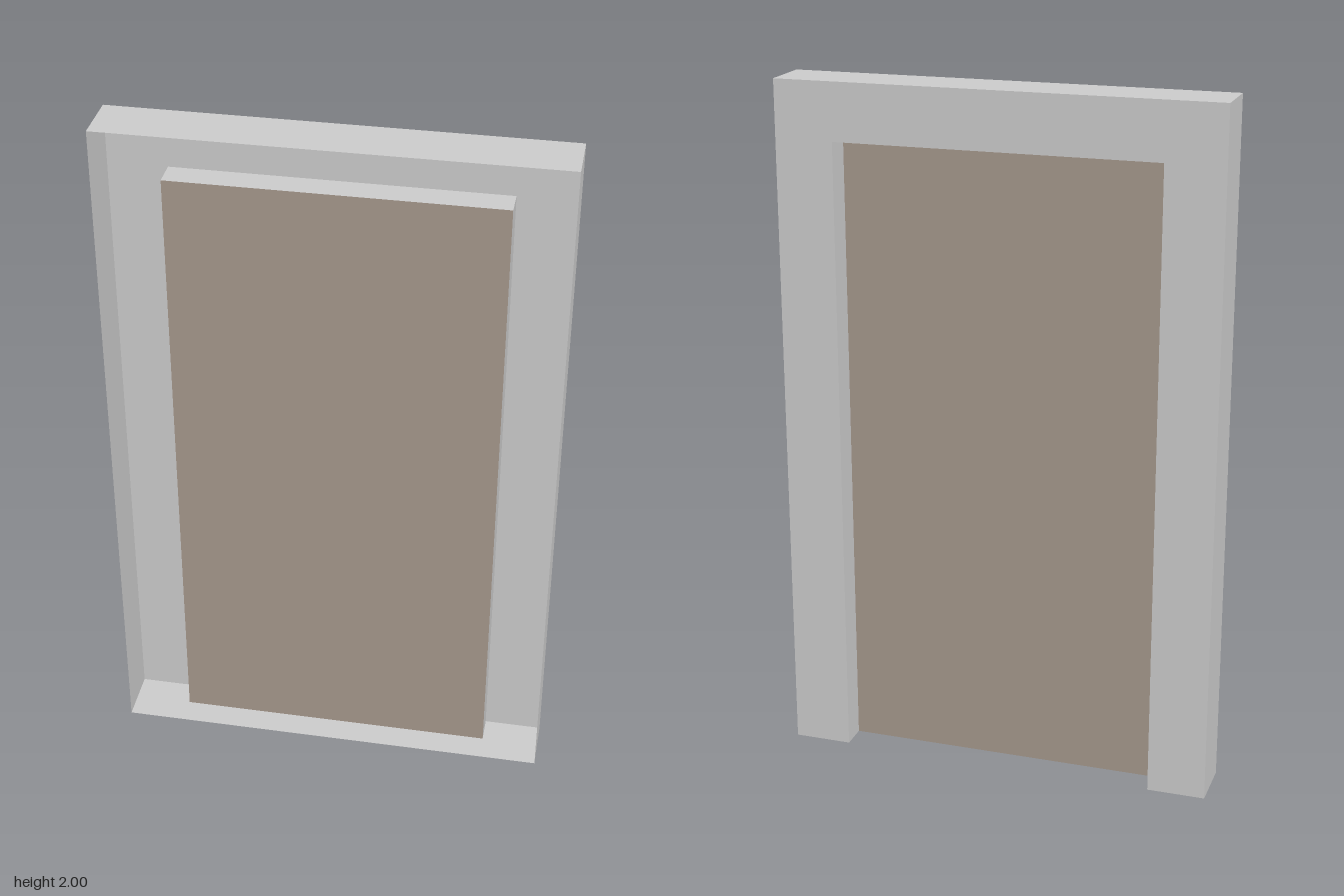
import * as THREE from 'three';

const W = 0.633, H = 2, D = 0.08;   // half width, height, half depth of the casing
const OW = 0.465, OH = 1.835;       // half width and height of the doorway

const frameMat = new THREE.MeshStandardMaterial({ color: 0xcccccc, side: THREE.DoubleSide });
const panelMat = new THREE.MeshStandardMaterial({ color: 0xa5988c, side: THREE.DoubleSide });

function polygon(points) {
  return new THREE.ShapeGeometry(new THREE.Shape(points.map(([x, y]) => new THREE.Vector2(x, y))));
}

export function createModel() {
  const model = new THREE.Group();
  model.name = 'door';
  const add = (name, geometry, material = frameMat) => {
    const mesh = new THREE.Mesh(geometry, material);
    mesh.name = name;
    model.add(mesh);
    return mesh;
  };

  // back casing: a plate with the doorway cut out, open at the floor
  add('backCasing', polygon([
    [-W, 0], [-OW, 0], [-OW, OH], [OW, OH], [OW, 0], [W, 0], [W, H], [-W, H],
  ]).rotateY(Math.PI)).position.z = -D;

  // outer top, and sill notched behind the panel (front is open)
  add('topWall', new THREE.PlaneGeometry(2 * W, 2 * D).rotateX(-Math.PI / 2)).position.y = H;
  add('sill', polygon([
    [-W, -D], [-OW, -D], [-OW, 0], [OW, 0], [OW, -D], [W, -D], [W, D], [-W, D],
  ]).rotateX(Math.PI / 2));

  // outer side walls and the reveals beside the recessed panel
  for (const [side, s] of [['left', 1], ['right', -1]]) {
    add(side + 'Wall', new THREE.PlaneGeometry(2 * D, H).rotateY(s * Math.PI / 2))
      .position.set(s * W, H / 2, 0);
    add(side + 'Reveal', new THREE.PlaneGeometry(D, OH).rotateY(-s * Math.PI / 2))
      .position.set(s * OW, OH / 2, -D / 2);
  }
  add('topReveal', new THREE.PlaneGeometry(2 * OW, D).rotateX(Math.PI / 2))
    .position.set(0, OH, -D / 2);

  // door leaf, halfway through the depth
  add('doorPanel', new THREE.PlaneGeometry(2 * OW, OH).rotateY(Math.PI), panelMat)
    .position.set(0, OH / 2, 0);

  return model;
}
